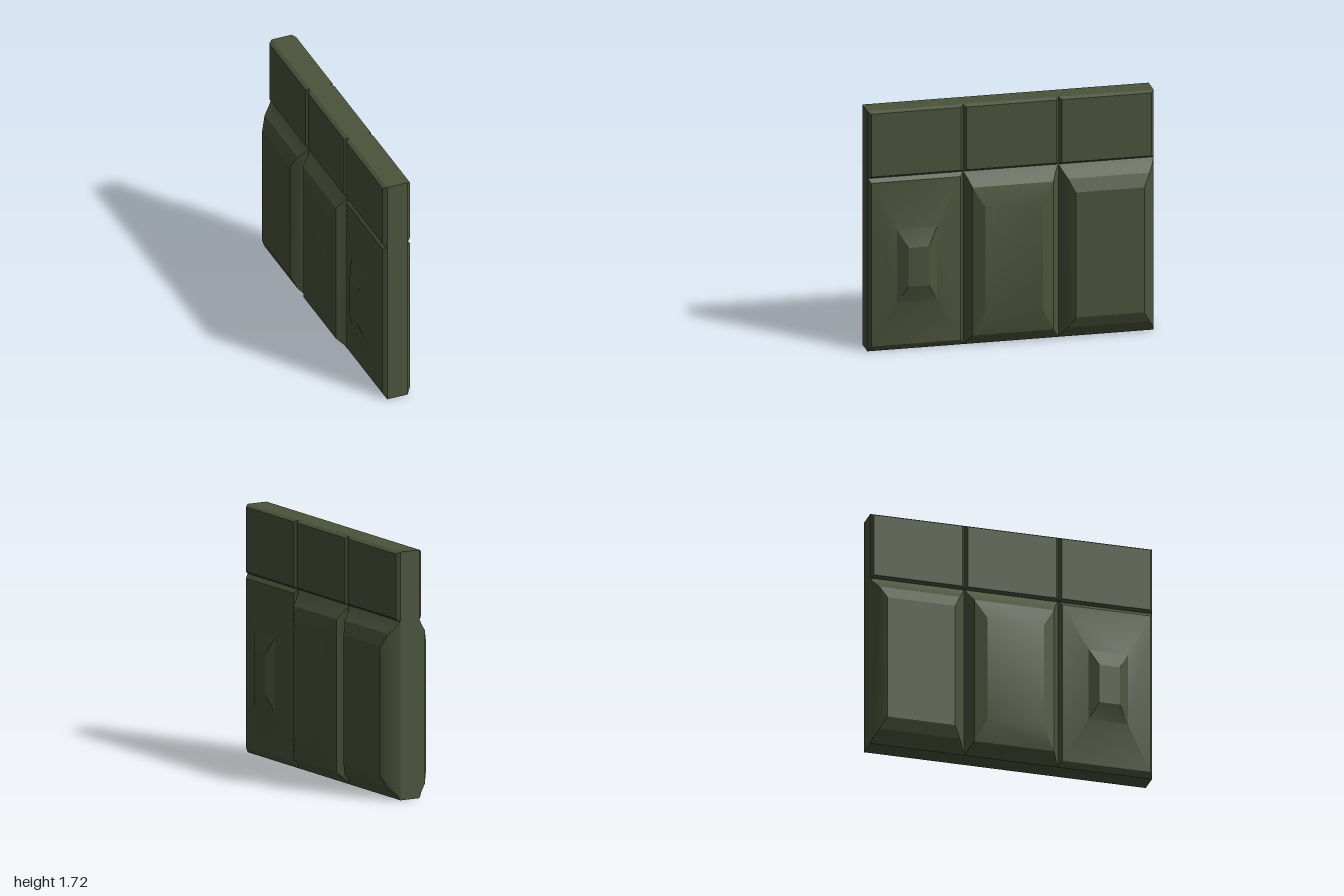
import * as THREE from 'three';
import { toCreasedNormals } from 'three/addons/utils/BufferGeometryUtils.js';

const olive = new THREE.MeshStandardMaterial({ color: 0x4b543c });
olive.name = 'olive fabric';

// Raised panel from nested rectangles [x, zMin, zMax, yMin, yMax], closed by the last one
function panel(name, side, rings) {
  const corners = rings.map(([x, z0, z1, y0, y1]) =>
    [[z1, y0], [z0, y0], [z0, y1], [z1, y1]].map(([z, y]) => [side * x, y, z]));
  const pos = [];
  const quad = (a, b, c, d) => {
    const q = side > 0 ? [a, b, c, a, c, d] : [a, c, b, a, d, c];
    q.forEach((p) => pos.push(...p));
  };
  for (let r = 0; r < corners.length - 1; r++) {
    for (let i = 0; i < 4; i++) {
      const j = (i + 1) % 4;
      quad(corners[r][i], corners[r][j], corners[r + 1][j], corners[r + 1][i]);
    }
  }
  quad(...corners[corners.length - 1]);
  const geo = new THREE.BufferGeometry();
  geo.setAttribute('position', new THREE.Float32BufferAttribute(pos, 3));
  const mesh = new THREE.Mesh(toCreasedNormals(geo, 0.3), olive);
  mesh.name = name;
  return mesh;
}

export function createModel() {
  const group = new THREE.Group();
  group.name = 'triplePouch';

  // Flat backing between both faces
  const core = new THREE.Mesh(new THREE.BoxGeometry(0.15, 1.72, 2), olive);
  core.name = 'core';
  core.position.y = 0.86;
  group.add(core);

  const third = 1 / 3;
  // Pouch bulges, from the front end to the back end
  const pouches = {
    frontPouch: [
      [0.075, third, 1, 0, 1.24],
      [0.1, 0.355, 0.98, 0.04, 1.21],
      [0.14, 0.53, 0.81, 0.355, 0.88],
      [0.182, 0.595, 0.74, 0.475, 0.755],
    ],
    middlePouch: [
      [0.075, -third, third, 0, 1.24],
      [0.1, -0.31, 0.31, 0.035, 1.2],
      [0.147, -0.283, 0.283, 0.08, 1.14],
      [0.182, -0.2, 0.2, 0.24, 1.0],
    ],
    backPouch: [
      [0.075, -1, -third, 0, 1.24],
      [0.1, -0.985, -0.355, 0.04, 1.2],
      [0.145, -0.955, -0.385, 0.085, 1.15],
      [0.182, -0.91, -0.43, 0.165, 1.06],
    ],
  };

  for (const side of [1, -1]) {
    const label = side > 0 ? 'Left' : 'Right';
    for (const [name, rings] of Object.entries(pouches)) {
      group.add(panel(name + label, side, rings));
    }
    // Closing flaps with bevelled edges
    for (let i = 0; i < 3; i++) {
      const z0 = -1 + i * 2 * third;
      const z1 = z0 + 2 * third;
      group.add(panel('flap' + label + (i + 1), side, [
        [0.075, z0, z1, 1.237, 1.72],
        [0.1, z0 + 0.02, z1 - 0.02, 1.255, 1.705],
      ]));
    }
  }
  return group;
}
